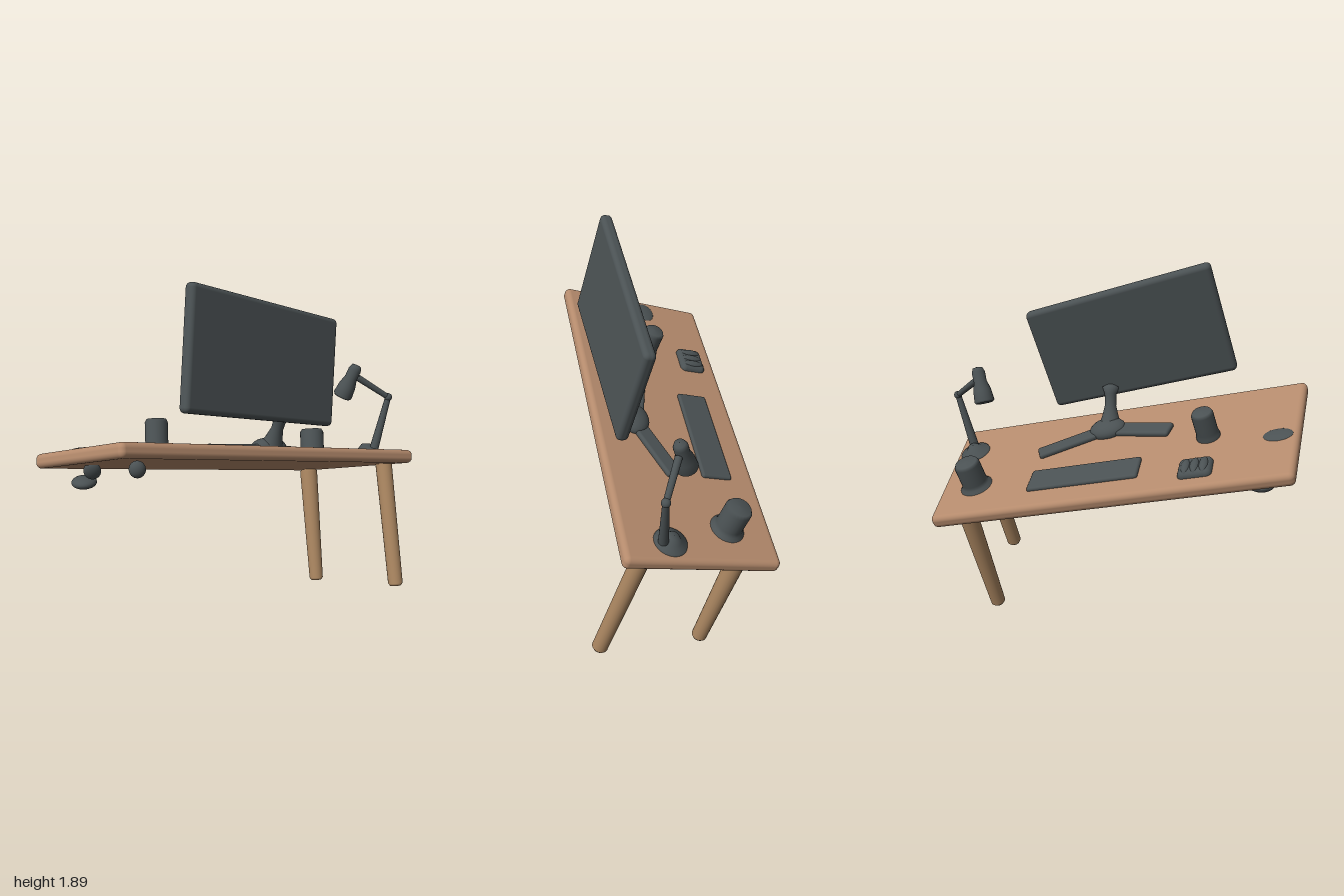
import * as THREE from 'three';
import { RoundedBoxGeometry } from 'three/addons/geometries/RoundedBoxGeometry.js';

const wood = new THREE.MeshStandardMaterial({ color: 0xb48a6c });
const legWood = new THREE.MeshStandardMaterial({ color: 0xa8845f });
const dark = new THREE.MeshStandardMaterial({ color: 0x4a5153 });
const V = (x, y, z) => new THREE.Vector3(x, y, z);

function add(parent, name, geometry, material, position = V(0, 0, 0)) {
  const mesh = new THREE.Mesh(geometry, material);
  mesh.name = name;
  mesh.position.copy(position);
  parent.add(mesh);
  return mesh;
}

// Rounded box whose vertices are nudged by a rule
function shapedBox(w, h, d, r, rule) {
  const geo = new RoundedBoxGeometry(w, h, d, 4, r);
  const pos = geo.attributes.position;
  const p = V(0, 0, 0);
  for (let i = 0; i < pos.count; i++) {
    rule(p.fromBufferAttribute(pos, i));
    pos.setXYZ(i, p.x, p.y, p.z);
  }
  return geo;
}

// Turned part running from point a to point b; profile is [radius, fraction]
function turned(parent, name, material, a, b, profile) {
  const axis = b.clone().sub(a);
  const len = axis.length();
  const points = profile.map(([r, t]) => new THREE.Vector2(r, t * len));
  const mesh = add(parent, name, new THREE.LatheGeometry(points, 24), material, a);
  mesh.quaternion.setFromUnitVectors(V(0, 1, 0), axis.normalize());
  return mesh;
}

const rod = (parent, name, material, a, b, r0, r1) => turned(parent, name, material, a, b,
  [[0, 0], [r0 * 0.75, 0], [r0, 0.02], [r1, 0.98], [r1 * 0.75, 1], [0, 1]]);

function pebble(parent, name, position, sx, sy, sz) {
  const mesh = add(parent, name, new THREE.SphereGeometry(1, 24, 14), dark, position);
  mesh.scale.set(sx, sy, sz);
  return mesh;
}

// Flat bar lying between two points
function bar(parent, name, a, b, width, height) {
  const d = b.clone().sub(a);
  const geo = new RoundedBoxGeometry(d.length() + width, height, width, 3, height * 0.45);
  const mesh = add(parent, name, geo, dark, a.clone().add(b).multiplyScalar(0.5));
  mesh.rotation.y = Math.atan2(-d.z, d.x);
}

export function createModel() {
  const model = new THREE.Group();
  model.name = 'tiltedDesk';

  // Desk frame: x along the table, y out of the top, z across it
  const desk = new THREE.Group();
  desk.name = 'desk';
  const u = V(0.802, -0.222, -0.553).normalize();
  const n = V(0.607, 0.3, 0.735).cross(u).normalize();
  desk.quaternion.setFromRotationMatrix(new THREE.Matrix4().makeBasis(u, n, u.clone().cross(n)));
  desk.position.set(0, 0.93, 0);
  model.add(desk);
  const top = 0.034;

  // Tabletop, a little longer along its front edge
  add(desk, 'tabletop', shapedBox(1.905, 0.072, 0.795, 0.028,
    (p) => { p.x += 0.048 * p.x * p.z; }), wood, V(0.006, 0, -0.01));

  // Legs stand under one end only
  rod(model, 'frontLeg', legWood, V(0.902, 0.145, -0.055), V(0.852, 0.81, -0.288), 0.04, 0.045);
  rod(model, 'backLeg', legWood, V(0.522, 0.017, -0.43), V(0.49, 0.64, -0.627), 0.039, 0.05);

  // Monitor, slightly taller at its far side
  const screen = add(desk, 'monitorPanel', shapedBox(1.0, 0.55, 0.062, 0.024,
    (p) => { p.y += 0.04 * (0.5 - p.x) * (0.5 + p.y / 0.55); }), dark, V(-0.127, 0.433, 0.387));
  screen.rotation.set(0.1, 0.052, -0.02, 'YXZ');

  // Off-centre stand with two splayed feet
  const hub = V(0.08, top + 0.012, 0.18);
  bar(desk, 'standFoot', hub, V(0.4, top + 0.008, 0.05), 0.085, 0.032);
  bar(desk, 'standFoot', hub, V(-0.23, top + 0.008, 0.105), 0.1, 0.032);
  pebble(desk, 'standHub', hub, 0.1, 0.05, 0.08);
  turned(desk, 'standNeck', dark, V(0.075, top, 0.2), V(0.04, 0.23, 0.345),
    [[0.07, 0], [0.045, 0.25], [0.03, 0.5], [0.032, 0.75], [0.045, 0.9], [0, 1]]);

  // Keyboard
  add(desk, 'keyboard', new RoundedBoxGeometry(0.59, 0.03, 0.16, 3, 0.013), dark,
    V(0.137, top + 0.004, -0.197));

  // Mouse with raised ridges
  add(desk, 'mouse', new RoundedBoxGeometry(0.17, 0.06, 0.14, 4, 0.028), dark, V(-0.452, top, -0.265));
  for (let i = -1; i <= 1; i++) {
    pebble(desk, 'mouseRidge', V(-0.452 + i * 0.045, top + 0.02, -0.265), 0.024, 0.022, 0.06);
  }

  // Cups with a flared foot
  const cup = (name, x, z, r, h, foot) => turned(desk, name, dark, V(x, top - 0.005, z), V(x, top + h, z),
    [[foot, 0], [r * 1.08, 0.14], [r, 0.25], [r, 0.88], [r * 0.85, 0.98], [0, 1]]);
  cup('cornerCup', 0.747, -0.167, 0.067, 0.16, 0.092);
  cup('middleCup', -0.487, -0.003, 0.056, 0.155, 0.062);

  // Small flat dish near the far end
  pebble(desk, 'smallDish', V(-0.84, top, -0.07), 0.075, 0.012, 0.052);

  // Desk lamp
  turned(desk, 'lampBase', dark, V(0.855, top - 0.005, 0.15), V(0.855, top + 0.05, 0.15),
    [[0.085, 0], [0.08, 0.3], [0.045, 0.55], [0.025, 1], [0, 1]]);
  const foot = V(0.81, 0.83, -0.355), elbow = V(0.89, 1.13, -0.4), head = V(0.71, 1.25, -0.385);
  rod(model, 'lampLowerArm', dark, foot, elbow, 0.025, 0.016);
  rod(model, 'lampUpperArm', dark, elbow, head, 0.015, 0.018);
  pebble(model, 'lampElbow', elbow, 0.022, 0.022, 0.022);
  turned(model, 'lampShade', dark, V(0.63, 1.14, -0.395), V(0.706, 1.32, -0.385),
    [[0, 0.04], [0.045, 0], [0.053, 0.05], [0.047, 0.35], [0.034, 0.6], [0.035, 0.85], [0.026, 0.97], [0, 1]]);

  // Lumps hanging below the far end
  pebble(model, 'hangingLump', V(-0.48, 1.125, 0.69), 0.038, 0.04, 0.03);
  pebble(model, 'hangingLump', V(-0.7, 1.012, 0.37), 0.042, 0.05, 0.024).rotation.x = 0.4;
  pebble(model, 'floatingLump', V(-0.75, 0.915, 0.255), 0.062, 0.03, 0.066);

  return model;
}
